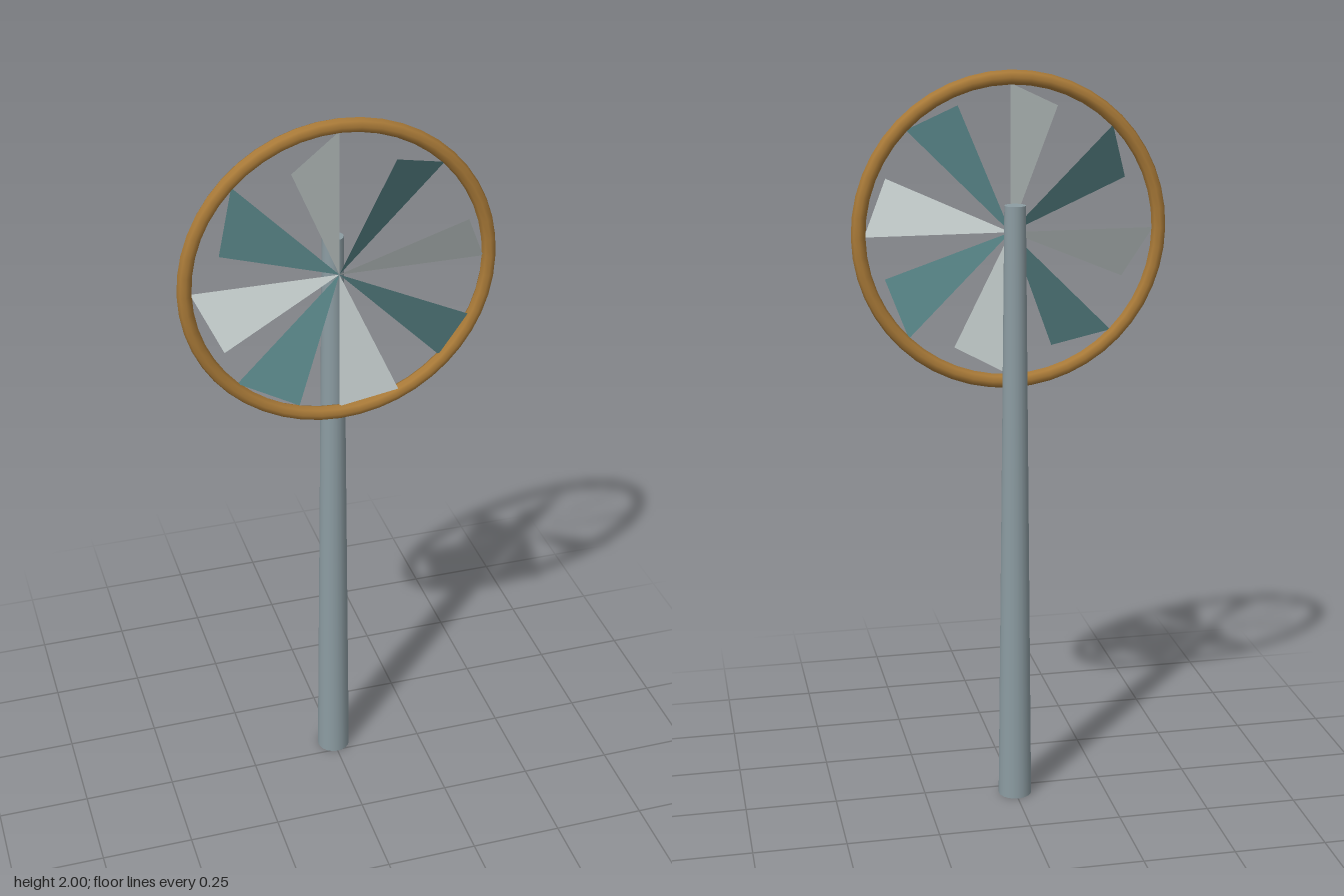
import * as THREE from 'three';

export function createModel() {
  const group = new THREE.Group();
  const mat = (name, color, side = THREE.FrontSide) => {
    const m = new THREE.MeshStandardMaterial({ color, side });
    m.name = name;
    return m;
  };
  const poleGrey = mat('pole grey', 0x8c9ca2);
  const ringBrown = mat('ring brown', 0xa97a38);
  const paleGrey = mat('pale grey', 0xc3cccb, THREE.DoubleSide);
  const teal = mat('teal', 0x558083, THREE.DoubleSide);

  // Tapered pole standing behind the wheel
  const pole = new THREE.Mesh(new THREE.CylinderGeometry(0.028, 0.046, 1.66, 20), poleGrey);
  pole.name = 'pole';
  pole.position.set(0, 0.83, -0.04);
  group.add(pole);

  // Wheel: rim plus blades around a common centre
  const wheel = new THREE.Group();
  wheel.name = 'wheel';
  wheel.position.set(0, 1.58, 0.019);
  group.add(wheel);

  const rim = new THREE.Mesh(new THREE.TorusGeometry(0.4, 0.019, 8, 48), ringBrown);
  rim.name = 'rim';
  wheel.add(rim);

  // One triangular sail, its trailing corner lifted forward
  const sail = new THREE.BufferGeometry();
  sail.setAttribute('position', new THREE.Float32BufferAttribute(
    [0, 0, 0, 0.385, 0, 0, 0.318, 0.14, 0.066], 3));
  sail.computeVertexNormals();

  // Eight sails in alternating colours
  for (let i = 0; i < 8; i++) {
    const blade = new THREE.Mesh(sail, i % 2 ? teal : paleGrey);
    blade.name = 'blade' + (i + 1);
    blade.rotation.z = i * Math.PI / 4;
    wheel.add(blade);
  }
  return group;
}
